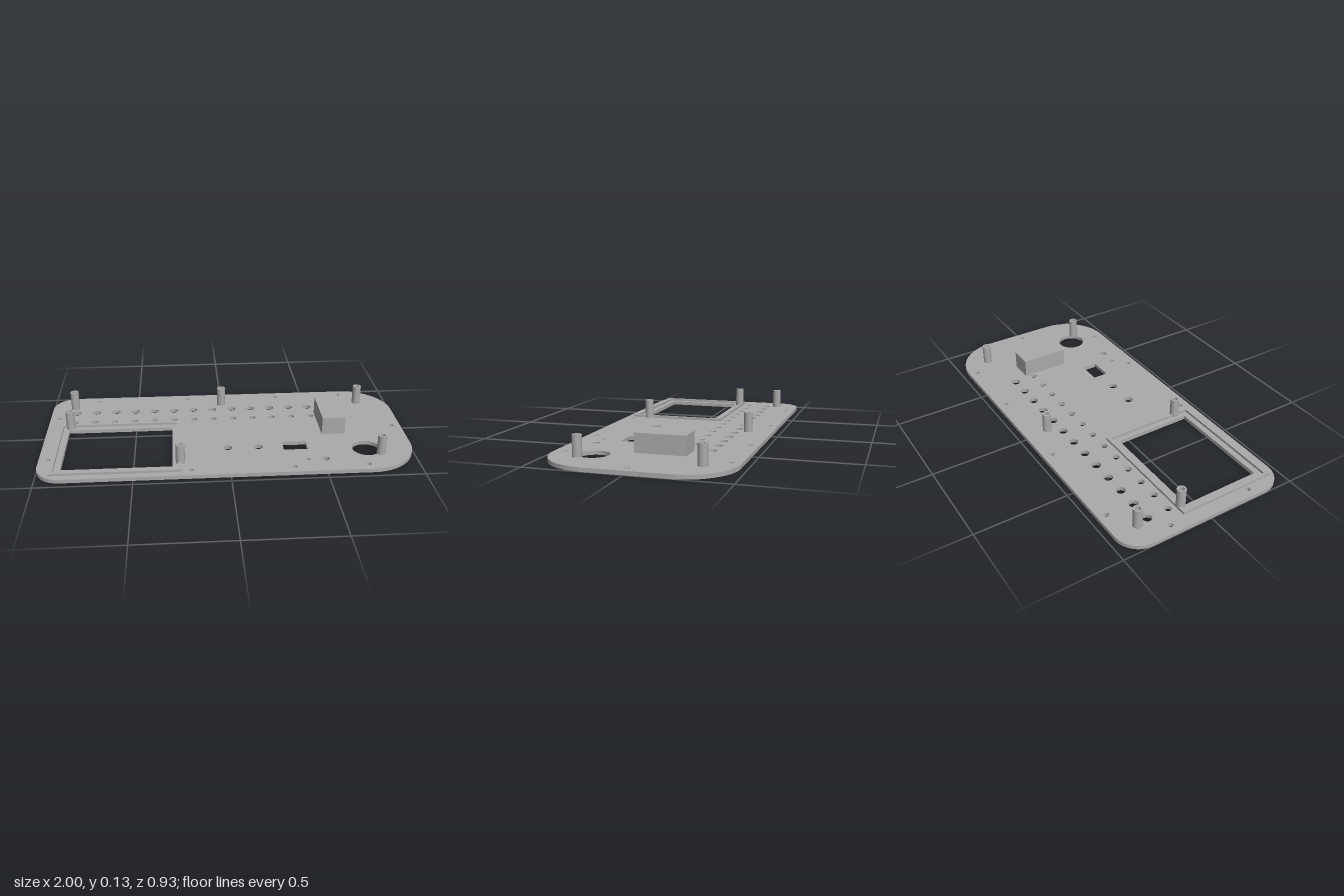
import * as THREE from 'three';

const grey = new THREE.MeshStandardMaterial({ color: 0xaaaaaa });
grey.name = 'plain grey';

// Plan outlines are drawn in x and z; z is negated so extrusions rise along +y.
function circle(x, z, r) {
  return new THREE.Path().absarc(x, -z, r, 0, Math.PI * 2, true);
}

function rect(x0, x1, z0, z1, Type = THREE.Path) {
  const p = new Type();
  p.moveTo(x0, -z1);
  p.lineTo(x1, -z1);
  p.lineTo(x1, -z0);
  p.lineTo(x0, -z0);
  p.closePath();
  return p;
}

function slab(name, shape, holes, y0, y1) {
  shape.holes.push(...holes);
  const geo = new THREE.ExtrudeGeometry(shape, { depth: y1 - y0, bevelEnabled: false, curveSegments: 16 });
  geo.rotateX(-Math.PI / 2).translate(0, y0, 0);
  const mesh = new THREE.Mesh(geo, grey);
  mesh.name = name;
  return mesh;
}

// Plate outline with tighter corners on the -x end and wider ones on +x
function plateOutline() {
  const s = new THREE.Shape(), zf = 0.466, zb = 0.468, a = 0.13, b = 0.26, q = Math.PI / 2;
  s.moveTo(-1 + a, -zf);
  s.absarc(1 - b, -zf + b, b, -q, 0, false);
  s.absarc(1 - b, zb - b, b, 0, q, false);
  s.absarc(-1 + a, zb - a, a, q, 2 * q, false);
  s.absarc(-1 + a, -zf + a, a, 2 * q, 3 * q, false);
  return s;
}

export function createModel() {
  const model = new THREE.Group();
  model.name = 'controlPanel';
  const top = 0.021, engraveDepth = 0.004;

  // Box footprint and its hollow
  const bx = [0.535, 0.663, -0.187, 0.077], wall = 0.012;
  const hollow = () => rect(bx[0] + wall, bx[1] - wall, bx[2] + wall, bx[3] - wall);

  // All through openings of the plate
  function openings() {
    const holes = [
      rect(-0.875, -0.298, -0.06, 0.372),
      rect(0.3, 0.43, 0.153, 0.238),
      hollow(),
      circle(0.746, 0.25, 0.077),
      circle(0, 0.197, 0.024),
      circle(0.166, 0.197, 0.024),
      circle(0.412, 0.345, 0.013),
      circle(0.508, 0.345, 0.02),
    ];
    for (let i = 0; i < 13; i++) {
      const x = -0.853 + i * 0.1134;
      holes.push(circle(x, -0.27, 0.024), circle(x, -0.15, 0.018));
    }
    // Screw holes around the rim
    for (const [x, z] of [[-0.733, -0.42], [-0.203, -0.42], [0.332, -0.42], [0.722, -0.42],
      [-0.95, -0.205], [-0.95, 0.265], [0.95, 0], [-0.203, 0.415], [0.332, 0.415], [0.722, 0.415]]) {
      holes.push(circle(x, z, 0.013));
    }
    return holes;
  }

  // Plate in two layers; the lower one carries a fine groove
  const groove = rect(-0.92, 0.53, -0.209, -0.201);
  model.add(slab('plateUnderside', plateOutline(), [...openings(), groove], 0, engraveDepth));
  model.add(slab('plate', plateOutline(), openings(), engraveDepth, top));

  // Raised rim around the screen window
  model.add(slab('screenRim', rect(-0.928, -0.249, -0.112, 0.428, THREE.Shape),
    [rect(-0.909, -0.267, -0.094, 0.404)], top, 0.034));

  // Hollow housing, open below
  const housing = new THREE.Group();
  housing.name = 'housing';
  housing.add(slab('housingWalls', rect(...bx, THREE.Shape), [hollow()], top, 0.12 - wall));
  housing.add(slab('housingLid', rect(...bx, THREE.Shape), [], 0.12 - wall, 0.12));
  model.add(housing);

  // Tubular standoffs, blind at the plate
  const ro = 0.024, ri = 0.014, h = 0.128;
  const v = (x, y) => new THREE.Vector2(x, y);
  const tube = new THREE.LatheGeometry([v(ro, top), v(ro, h), v(ro, h), v(ri, h), v(ri, h), v(ri, top)], 24);
  // Separate normals for the wall, rim and bore
  const n = tube.attributes.normal;
  for (let i = 0; i < n.count; i++) {
    const a = Math.floor(i / 6) / 24 * Math.PI * 2, k = i % 6;
    const s = k < 2 ? 1 : k > 3 ? -1 : 0;
    n.setXYZ(i, s * Math.sin(a), s ? 0 : 1, s * Math.cos(a));
  }
  for (const [x, z] of [[-0.869, -0.337], [-0.869, -0.088], [-0.003, -0.337],
    [0.813, -0.31], [0.813, 0.305], [-0.257, 0.33]]) {
    const post = new THREE.Mesh(tube, grey);
    post.name = 'standoff';
    post.position.set(x, 0, z);
    model.add(post);
  }
  return model;
}
